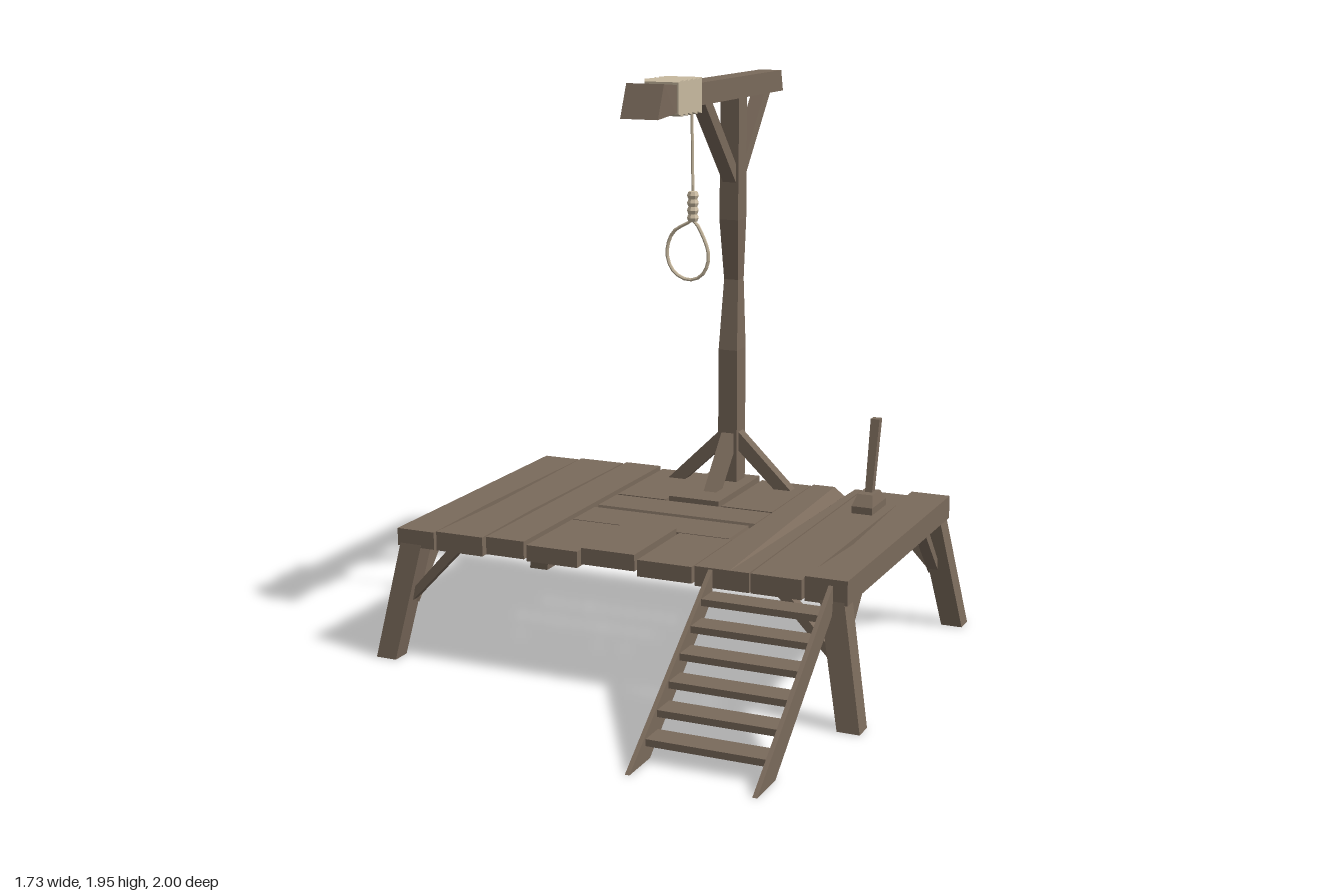
import * as THREE from 'three';

const wood = new THREE.MeshStandardMaterial({ color: 0x7a6a5b });
wood.name = 'weathered wood';
const hemp = new THREE.MeshStandardMaterial({ color: 0xcbbca2 });
hemp.name = 'hemp rope';

// Solid through matching rings of [x, y, z] points, capped at both ends, flat faceted
function loft(rings) {
  const pos = [];
  const n = rings[0].length;
  const tri = (a, b, c) => pos.push(...a, ...b, ...c);
  for (let r = 0; r < rings.length - 1; r++) {
    for (let i = 0; i < n; i++) {
      const j = (i + 1) % n, p = rings[r], q = rings[r + 1];
      tri(p[i], p[j], q[j]);
      tri(p[i], q[j], q[i]);
    }
  }
  const cap = (ring, flip) => {
    const tris = THREE.ShapeUtils.triangulateShape(flat(ring), []);
    tris.forEach(([a, b, c]) => (flip ? tri(ring[a], ring[c], ring[b]) : tri(ring[a], ring[b], ring[c])));
  };
  // project a ring to 2D so that its winding is kept counter-clockwise
  const flat = (ring) => {
    const nrm = new THREE.Vector3();
    ring.forEach((p, i) => nrm.add(new THREE.Vector3(...p).cross(new THREE.Vector3(...ring[(i + 1) % n]))));
    const q = new THREE.Quaternion().setFromUnitVectors(nrm.normalize(), new THREE.Vector3(0, 0, 1));
    return ring.map((p) => {
      const v = new THREE.Vector3(...p).applyQuaternion(q);
      return new THREE.Vector2(v.x, v.y);
    });
  };
  cap(rings[0], true);
  cap(rings[rings.length - 1], false);
  // turn inside-out solids the right way round
  let vol = 0;
  for (let i = 0; i < pos.length; i += 9) {
    const [a, b, c] = [0, 3, 6].map((k) => new THREE.Vector3(pos[i + k], pos[i + k + 1], pos[i + k + 2]));
    vol += a.dot(b.cross(c));
  }
  if (vol < 0) {
    for (let i = 0; i < pos.length; i += 9) {
      for (let k = 3; k < 6; k++) [pos[i + k], pos[i + k + 3]] = [pos[i + k + 3], pos[i + k]];
    }
  }
  const g = new THREE.BufferGeometry();
  g.setAttribute('position', new THREE.Float32BufferAttribute(pos, 3));
  g.computeVertexNormals();
  return g;
}

// Rectangular rings: across y (horizontal section) and across z (upright section)
const ringY = (y, x0, x1, z0, z1) => [[x0, y, z0], [x1, y, z0], [x1, y, z1], [x0, y, z1]];
const ringZ = (x0, x1, y0, y1, z, zTop = z) => [[x0, y0, z], [x1, y0, z], [x1, y1, zTop], [x0, y1, zTop]];
// Side profiles given a thickness
const slabX = (pts, x0, x1) => loft([x0, x1].map((x) => pts.map(([z, y]) => [x, y, z])));
const slabZ = (pts, z0, z1) => loft([z0, z1].map((z) => pts.map(([x, y]) => [x, y, z])));

export function createModel() {
  const model = new THREE.Group();
  const group = (name) => {
    const g = new THREE.Group();
    g.name = name;
    model.add(g);
    return g;
  };
  const add = (parent, name, geo, mat = wood) => {
    const m = new THREE.Mesh(geo, mat);
    m.name = name;
    parent.add(m);
    return m;
  };

  // Deck: long planks [x0, x1, y0, y1, left pinch, right pinch]
  const deck = group('deck');
  const back = -0.71, front = 0.38;
  [
    [-0.80, -0.66, 0.39, 0.45, 0, 0.01],
    [-0.65, -0.475, 0.39, 0.455, 0.015, 0.01],
    [-0.46, -0.32, 0.40, 0.46, 0, 0],
    [0.48, 0.65, 0.39, 0.455, 0, 0],
    [0.66, 0.80, 0.39, 0.47, 0.025, 0],
  ].forEach(([x0, x1, y0, y1, l, r]) => add(deck, 'longPlank', loft([
    ringZ(x0, x1, y0, y1, back),
    ringZ(x0 + l, x1 - r, y0, y1, 0),
    ringZ(x0, x1, y0, y1, front),
  ])));

  // Plank with a split that narrows towards the front
  const split = (z, w, d) => [
    [0.29, 0.39, z], [0.475, 0.39, z], [0.475, 0.455, z],
    [0.41 + w, 0.455, z], [0.41, 0.455 - d, z], [0.41 - w, 0.455, z], [0.29, 0.455, z],
  ];
  add(deck, 'splitPlank', loft([split(back, 0.04, 0.03), split(0.35, 0.002, 0.002), split(front, 0.001, 0.001)]));

  // Short planks before and behind the trapdoor
  [[-0.31, -0.125, 0.395, 0.45], [-0.11, 0.08, 0.41, 0.465], [0.09, 0.28, 0.395, 0.45]].forEach(([x0, x1, y0, y1]) => {
    [[back, -0.32], [0.045, front]].forEach(([z0, z1]) =>
      add(deck, 'shortPlank', loft([ringZ(x0, x1, y0, y1, z0), ringZ(x0, x1, y0, y1, z1)])));
  });

  // Trapdoor boards with one worn edge each
  const trap = group('trapdoor');
  add(trap, 'backBoard', loft([ringY(0.395, -0.31, 0.28, -0.31, -0.14), ringY(0.45, -0.31, 0.28, -0.31, -0.16)]));
  add(trap, 'frontBoard', loft([ringY(0.395, -0.31, 0.28, -0.13, 0.04), ringY(0.45, -0.31, 0.268, -0.13, 0.04)]));

  // Splayed legs, each with two braces
  for (const s of [-1, 1]) {
    const mx = (pts) => pts.map(([x, y]) => [s * x, y]);
    for (const f of [-1, 1]) {
      const leg = group((f > 0 ? 'front' : 'back') + (s > 0 ? 'Left' : 'Right') + 'Leg');
      const z = (v) => (f > 0 ? v : -0.325 - v); // mirrored about the deck middle
      add(leg, 'post', loft([
        ringY(0, s * 0.79, s * 0.865, z(0.36), z(0.43)),
        ringY(0.4, s * 0.71, s * 0.79, z(0.305), z(0.38)),
      ]));
      add(leg, 'crossBrace', slabZ(mx([[0.76, 0.19], [0.745, 0.245], [0.61, 0.395], [0.565, 0.395]]), z(0.335), z(0.375)));
      add(leg, 'sideBrace', slabX(
        [[0.35, 0.19], [0.335, 0.24], [0.2, 0.395], [0.155, 0.395]].map(([v, y]) => [z(v), y]), s * 0.74, s * 0.78));
    }
  }

  // Stairs
  const stairs = group('stairs');
  const rail = [[1.0, 0], [0.855, 0], [0.38, 0.36], [0.38, 0.45]];
  add(stairs, 'rightRail', slabX(rail, 0.337, 0.352));
  add(stairs, 'leftRail', slabX(rail, 0.738, 0.753));
  for (let i = 0; i < 6; i++) {
    const tread = add(stairs, 'tread', new THREE.BoxGeometry(0.39, 0.022, 0.088));
    tread.position.set(0.545, 0.06 + i * 0.062, 0.842 - i * 0.083);
  }

  // Upright post with a crooked middle
  const upright = group('upright');
  add(upright, 'post', loft([
    ringY(0.4, -0.037, 0.037, -0.67, -0.592),
    ringY(0.95, -0.037, 0.034, -0.675, -0.592),
    ringY(1.2, -0.034, 0.02, -0.685, -0.632),
    ringY(1.42, -0.037, 0.034, -0.67, -0.592),
    ringY(1.86, -0.035, 0.035, -0.665, -0.592),
  ]));
  for (const s of [-1, 1]) {
    add(upright, 'sideFootBrace', slabZ(
      [[0.02, 0.65], [0.035, 0.65], [0.245, 0.445], [0.18, 0.445], [0.02, 0.595]].map(([x, y]) => [s * x, y]), -0.652, -0.607));
  }
  add(upright, 'frontFootBrace', slabX([[-0.6, 0.645], [-0.592, 0.645], [-0.42, 0.455], [-0.48, 0.455], [-0.6, 0.58]], -0.024, 0.024));
  add(upright, 'frontHeadBrace', slabX([[-0.305, 1.855], [-0.37, 1.855], [-0.6, 1.61], [-0.6, 1.545]], -0.025, 0.025));
  add(upright, 'backHeadBrace', slabX([[-0.92, 1.855], [-0.86, 1.855], [-0.66, 1.61], [-0.66, 1.545]], -0.025, 0.025));

  // Top beam, thicker and slant-cut at the front
  const beam = group('beam');
  add(beam, 'beamTimber', loft([
    ringZ(-0.042, 0.042, 1.85, 1.925, -1.0, -0.98),
    ringZ(-0.045, 0.045, 1.85, 1.925, -0.2),
    ringZ(-0.055, 0.055, 1.84, 1.932, 0),
    ringZ(-0.066, 0.066, 1.832, 1.942, 0.165, 0.118),
  ]));

  // Rope wound round the beam as ridged square turns
  const turns = [];
  for (let i = 0; i <= 10; i++) {
    const h = i % 2 ? 0.069 : 0.06;
    turns.push(ringZ(-h, h, 1.888 - h * 0.86, 1.888 + h * 0.86, -0.2 + i * 0.019));
  }
  add(beam, 'ropeWrap', loft(turns), hemp);

  // Hanging rope, knot and loop
  const rope = group('rope');
  const tube = (pts, closed, seg, r) => new THREE.TubeGeometry(
    new THREE.CatmullRomCurve3(pts.map(([x, y]) => new THREE.Vector3(x, y, -0.16)), closed), seg, r, 6, closed).toNonIndexed();
  const facet = (g) => { g.computeVertexNormals(); return g; };
  add(rope, 'hangingRope', facet(tube([[0.042, 1.85], [0.045, 1.7], [0.047, 1.56]], false, 4, 0.005)), hemp);
  const knot = [[0, 1.573]];
  for (let i = 0; i <= 8; i++) knot.push([i % 2 ? 0.021 : 0.016, 1.57 - i * 0.0125]);
  knot.push([0, 1.467]);
  const profile = knot.reverse().map(([x, y]) => new THREE.Vector2(x, y));
  add(rope, 'knot', facet(new THREE.LatheGeometry(profile, 8).toNonIndexed()), hemp).position.set(0.047, 0, -0.16);
  add(rope, 'ropeLoop', facet(tube([
    [0.047, 1.475], [0.085, 1.42], [0.105, 1.35], [0.08, 1.29], [0.03, 1.272],
    [-0.025, 1.3], [-0.047, 1.36], [-0.025, 1.43], [0.03, 1.465],
  ], true, 22, 0.006)), hemp);

  // Lever on its tapered block
  const lever = group('lever');
  add(lever, 'leverBlock', loft([
    ringY(0.45, 0.54, 0.615, -0.555, -0.405),
    ringY(0.48, 0.54, 0.615, -0.555, -0.405),
    ringY(0.517, 0.55, 0.605, -0.52, -0.438),
  ]));
  add(lever, 'leverHandle', loft([
    ringY(0.49, 0.565, 0.59, -0.498, -0.468),
    ringY(0.765, 0.562, 0.594, -0.558, -0.528),
  ]));

  return model;
}
